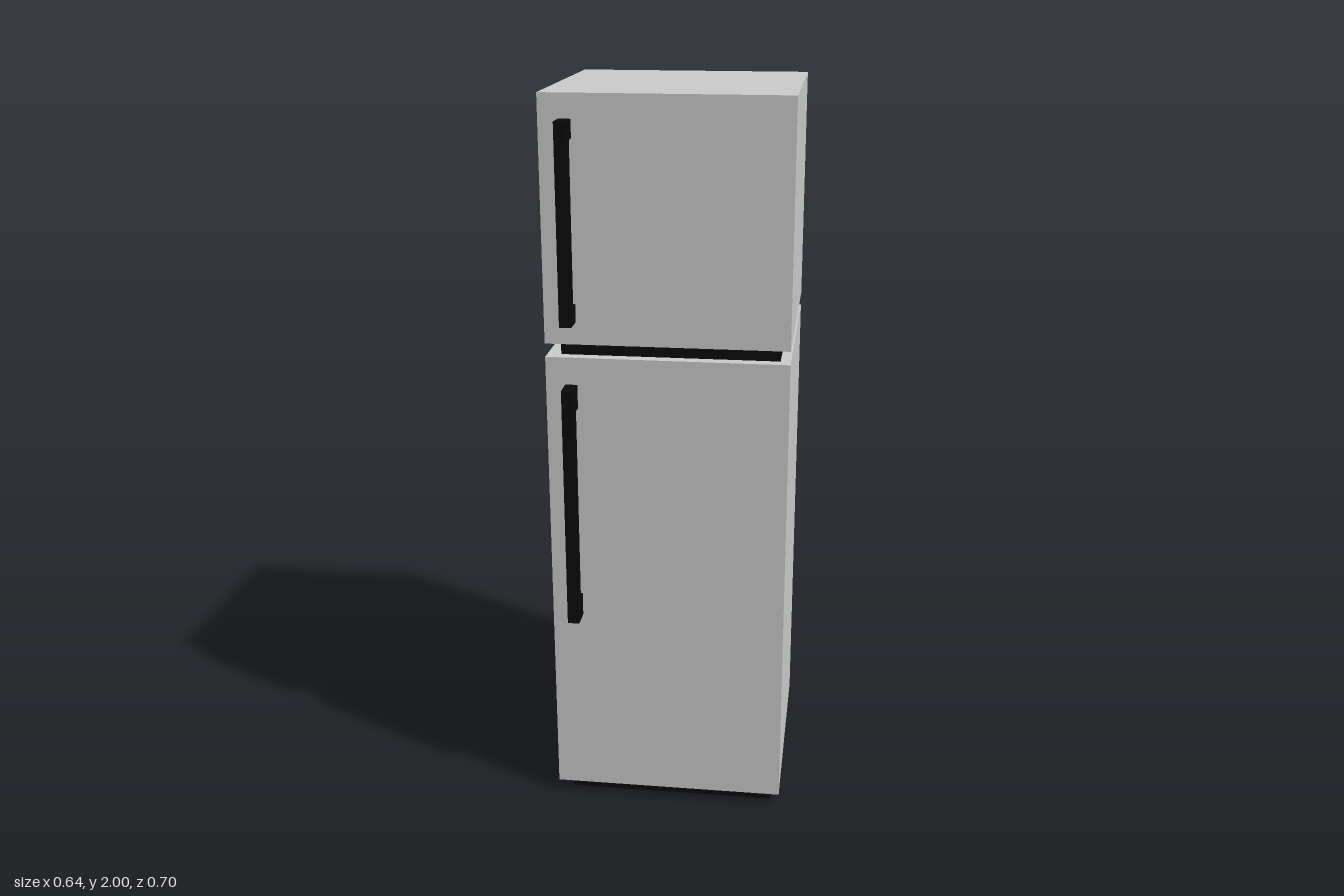
import * as THREE from 'three';

const grey = new THREE.MeshStandardMaterial({ color: 0xcccccc });
const black = new THREE.MeshStandardMaterial({ color: 0x0a0a0a });

// Box given by its extents along each axis
function block(name, [x0, x1], [y0, y1], [z0, z1], material) {
  const mesh = new THREE.Mesh(new THREE.BoxGeometry(x1 - x0, y1 - y0, z1 - z0), material);
  mesh.position.set((x0 + x1) / 2, (y0 + y1) / 2, (z0 + z1) / 2);
  mesh.name = name;
  return mesh;
}

// C-shaped door handle, drawn in the z-y plane and extruded along x
function handle(name, y0, y1, mount) {
  const back = 0.292, inner = 0.319, front = 0.351, width = 0.032;
  const shape = new THREE.Shape([
    [back, y0], [front, y0], [front, y1], [back, y1],
    [back, y1 - mount], [inner, y1 - mount], [inner, y0 + mount], [back, y0 + mount],
  ].map(([z, y]) => new THREE.Vector2(z, y)));
  const geometry = new THREE.ExtrudeGeometry(shape, { depth: width, bevelEnabled: false });
  geometry.rotateY(-Math.PI / 2); // shape x becomes +z, depth becomes -x
  const mesh = new THREE.Mesh(geometry, black);
  mesh.position.x = -0.237;
  mesh.name = name;
  return mesh;
}

export function createModel() {
  const group = new THREE.Group();
  group.name = 'refrigerator';

  const bodyX = [-0.321, 0.321], bodyZ = [-0.351, 0.292];
  const insetX = [-0.284, 0.294], insetZ = [-0.317, 0.261];

  // Cabinets
  group.add(block('fridgeCabinet', bodyX, [0.036, 1.324], bodyZ, grey));
  group.add(block('freezerCabinet', bodyX, [1.36, 2], bodyZ, grey));

  // Recessed plinth and spacer
  group.add(block('basePlinth', insetX, [0, 0.036], insetZ, black));
  group.add(block('middleSpacer', insetX, [1.324, 1.36], insetZ, black));

  // Handles
  group.add(handle('fridgeHandle', 0.58, 1.25, 0.064));
  group.add(handle('freezerHandle', 1.42, 1.937, 0.048));

  return group;
}
